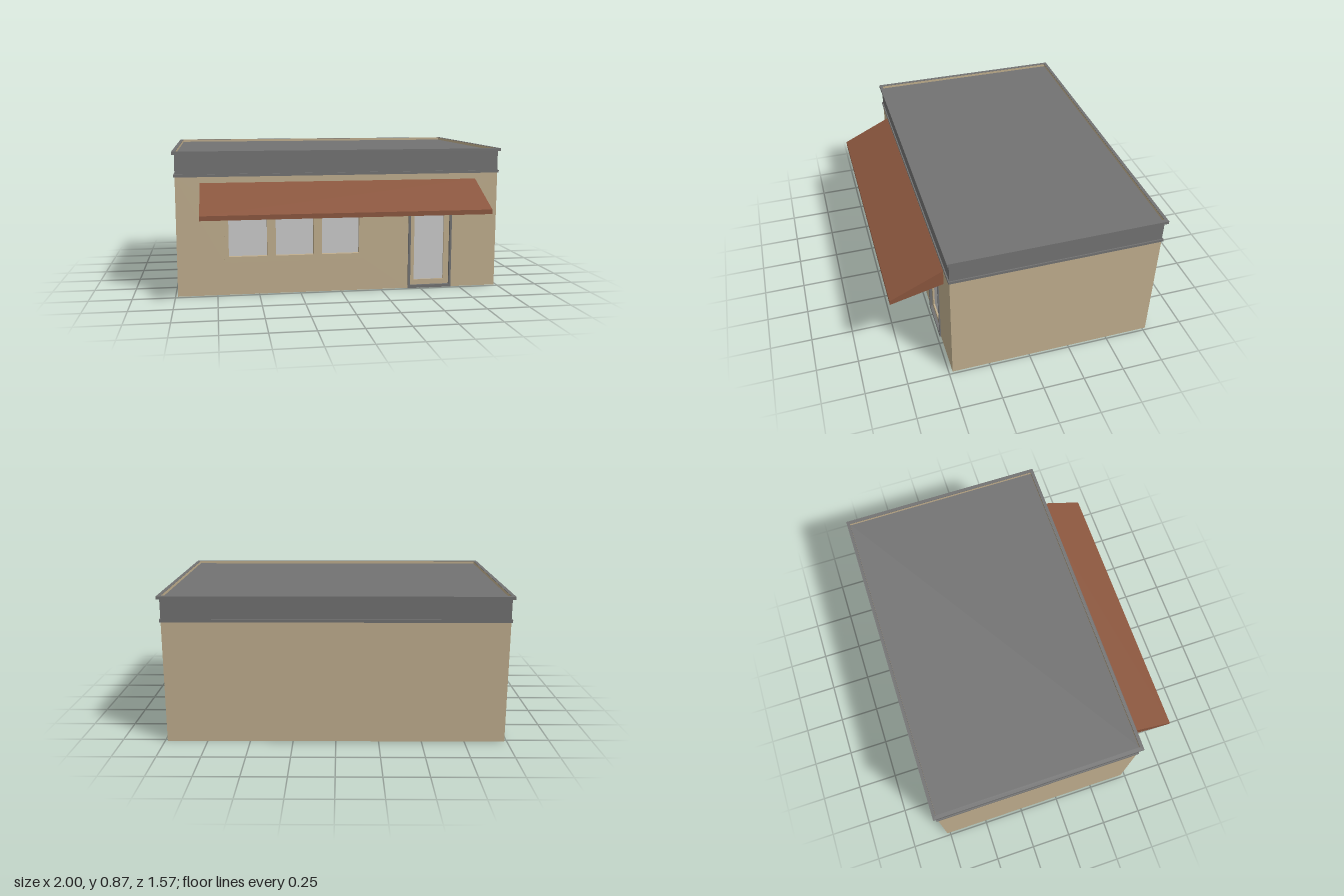
import * as THREE from 'three';

const mat = (name, color) => {
  const m = new THREE.MeshStandardMaterial({ color });
  m.name = name;
  return m;
};

export function createModel() {
  const group = new THREE.Group();
  const stucco = mat('beige stucco', 0xc0ae8e);
  const grey = mat('grey trim', 0x727272);
  const brown = mat('awning brown', 0x8b563e);
  const glass = mat('pale glass', 0xcbcbcb);

  const add = (name, geometry, material) => {
    const mesh = new THREE.Mesh(geometry, material);
    mesh.name = name;
    group.add(mesh);
    return mesh;
  };
  // Box given by its limits on each axis
  const box = (name, x0, x1, y0, y1, z0, z1, material) => {
    const g = new THREE.BoxGeometry(x1 - x0, y1 - y0, z1 - z0);
    g.translate((x0 + x1) / 2, (y0 + y1) / 2, (z0 + z1) / 2);
    return add(name, g, material);
  };
  // Rectangular panel with rectangular openings, each [x0, x1, y0, y1]
  const rect = (Type, [x0, x1, y0, y1]) => new Type([
    new THREE.Vector2(x0, y0), new THREE.Vector2(x1, y0),
    new THREE.Vector2(x1, y1), new THREE.Vector2(x0, y1),
  ]);
  const panel = (outer, holes, depth) => {
    const shape = rect(THREE.Shape, outer);
    shape.holes = holes.map((h) => rect(THREE.Path, h));
    return new THREE.ExtrudeGeometry(shape, { depth, bevelEnabled: false });
  };

  const W = 0.985, BACK = -0.77, FRONT = 0.477, INNER = 0.45;
  const windowArea = [-0.705, 0.14, 0.2, 0.51];
  const doorArea = [0.422, 0.698, 0, 0.5];
  const doorLeaf = [0.437, 0.686, 0.018, 0.492];
  const doorGlass = [0.463, 0.652, 0.05, 0.465];
  const panes = [-0.68, -0.398, -0.118].map((x) => [x, x + 0.23, 0.233, 0.487]);

  // Building body, with openings in the front wall
  box('walls', -W, W, 0, 0.72, BACK, INNER, stucco);
  add('frontWall', panel([-W, W, 0, 0.72], [windowArea, [0.422, 0.698, 0.002, 0.5]], FRONT - INNER)
    .translate(0, 0, INNER), stucco);

  // Window with three recessed panes
  add('windowFrame', panel(windowArea, panes, 0.033).translate(0, 0, INNER), stucco);
  for (const [x0, x1, y0, y1] of panes) {
    box('windowPane', x0, x1, y0, y1, INNER, INNER + 0.005, glass);
  }

  // Door
  add('doorFrame', panel(doorArea, [doorLeaf], 0.035).translate(0, 0, INNER), grey);
  add('doorLeaf', panel(doorLeaf, [doorGlass], 0.018).translate(0, 0, INNER), stucco);
  box('doorGlass', ...doorGlass, INNER, INNER + 0.008, glass);

  // Parapet, lower band and roof deck
  box('parapet', -W, W, 0.72, 0.85, BACK, FRONT, grey);
  box('parapetBand', -0.992, 0.992, 0.716, 0.732, -0.778, 0.484, grey);

  // Coping ring around the roof
  const CX = 0.978, CZ0 = -0.768, CZ1 = 0.47;
  const coping = panel([-1, 1, -0.49, 0.787], [[-CX, CX, -CZ1, -CZ0]], 0.018);
  add('coping', coping.rotateX(-Math.PI / 2).translate(0, 0.849, 0), grey);

  // Beige inner faces of the coping
  const midZ = (CZ0 + CZ1) / 2, e = 0.001;
  [
    [2 * CX, 0, CZ0 + e, 0],
    [2 * CX, 0, CZ1 - e, Math.PI],
    [CZ1 - CZ0, -CX + e, midZ, Math.PI / 2],
    [CZ1 - CZ0, CX - e, midZ, -Math.PI / 2],
  ].forEach(([length, x, z, turn]) => {
    const face = add('copingInnerFace', new THREE.PlaneGeometry(length, 0.016), stucco);
    face.position.set(x, 0.858, z);
    face.rotation.y = turn;
  });

  // Awning: a box tapered into a sloping wedge with a beige underside
  const awning = new THREE.BoxGeometry(1.684, 1, 1);
  const p = awning.attributes.position;
  for (let i = 0; i < p.count; i++) {
    const top = p.getY(i) > 0, outer = p.getZ(i) > 0;
    p.setY(i, outer ? (top ? 0.532 : 0.505) : (top ? 0.68 : 0.582));
    p.setZ(i, outer ? 0.787 : FRONT);
  }
  awning.computeVertexNormals();
  add('awning', awning, [brown, brown, brown, stucco, brown, brown]);

  return group;
}
